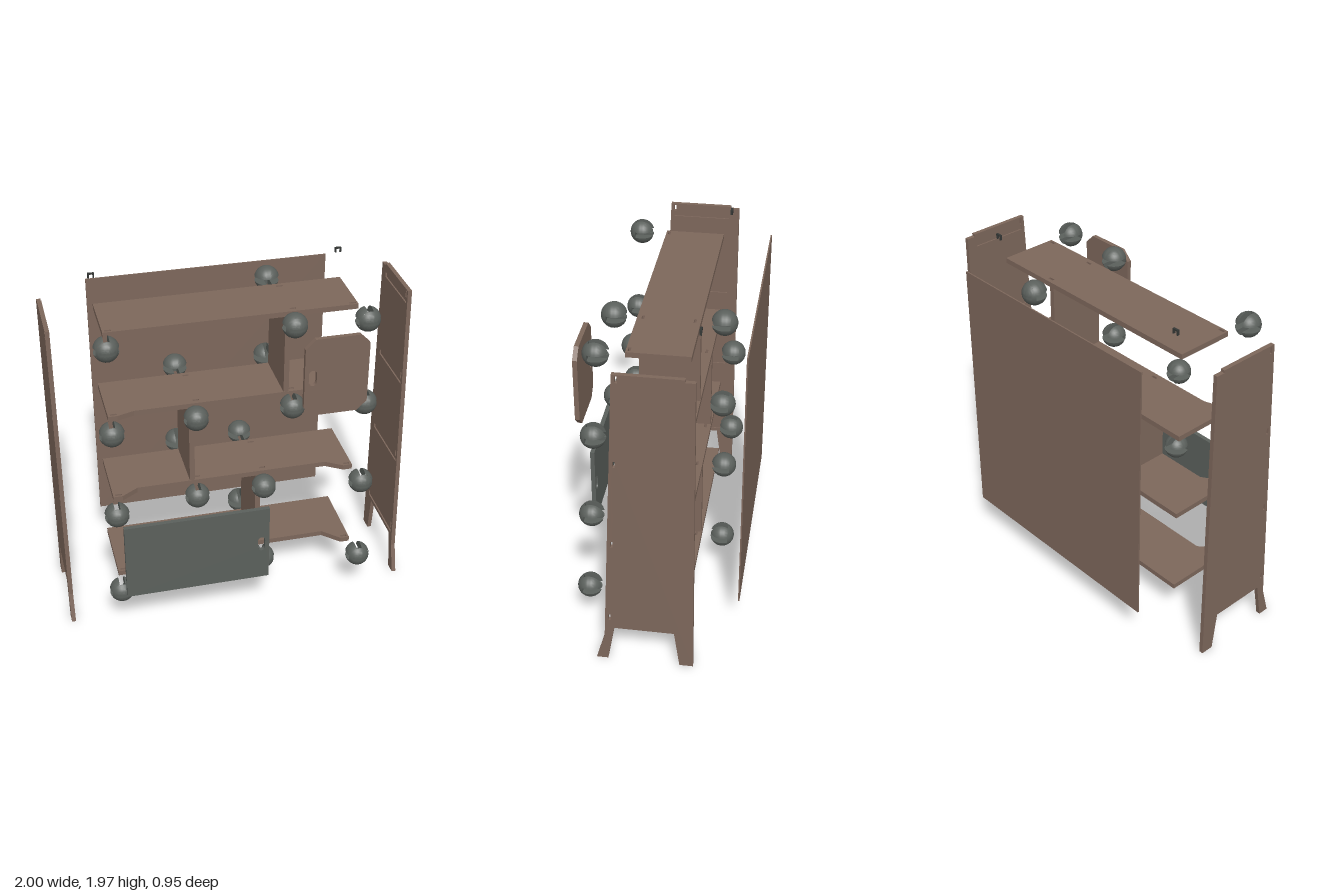
import * as THREE from 'three';
import { mergeGeometries, toCreasedNormals } from 'three/addons/utils/BufferGeometryUtils.js';

const mat = (name, color) => Object.assign(new THREE.MeshStandardMaterial({ color }), { name });
const wood = mat('brown wood', 0x7d675b);
const grey = mat('grey green', 0x5b605c);
const dark = mat('dark metal', 0x343735);

const T = 0.03;                                   // board thickness
const SHELF_Y = [1.795, 1.292, 0.776, 0.265];     // shelf centres, top to bottom
const SHELF_END = [0.14, 0.17, 0.2, 0.23];        // front reach of the shelf ends
const BALL_Z = [0.288, 0.318, 0.343, 0.37];
const DIVIDER_X = [0.307, -0.235, 0.152];         // one divider in each bay

function poly(points, holes = []) {
  const shape = new THREE.Shape(points.map(p => new THREE.Vector2(...p)));
  shape.holes = holes;
  return shape;
}

function rectHole(cx, cy, w, h) {
  const x = w / 2, y = h / 2;
  return new THREE.Path([[-x, -y], [-x, y], [x, y], [x, -y]]
    .map(([a, b]) => new THREE.Vector2(cx + a, cy + b)));
}

// Upright slot with rounded ends
function roundSlot(cx, cy, w, h) {
  const r = w / 2, d = h / 2 - r, p = new THREE.Path();
  p.absarc(cx, cy + d, r, 0, Math.PI);
  p.absarc(cx, cy - d, r, Math.PI, 2 * Math.PI);
  p.closePath();
  return p;
}

const extrude = (shape, depth) =>
  new THREE.ExtrudeGeometry(shape, { depth, bevelEnabled: false, curveSegments: 8 });

// One quarter of the slotted part of a ball, clear of |x| < w and |y| < h, up to z = c
function ballQuarter(R, w, h, c, turn) {
  const pos = [], idx = [], slices = 12, arc = 8, n = arc + 2;
  const a0 = -Math.acos(Math.hypot(w, h) / R), a1 = Math.asin(c / R);
  for (let i = 0; i <= slices; i++) {
    const a = a0 + (a1 - a0) * i / slices, r = R * Math.cos(a), z = R * Math.sin(a);
    const t0 = Math.asin(Math.min(1, h / r)), t1 = Math.acos(Math.min(1, w / r));
    pos.push(w, h, z);
    for (let j = 0; j <= arc; j++) {
      const t = t0 + (t1 - t0) * j / arc;
      pos.push(r * Math.cos(t), r * Math.sin(t), z);
    }
  }
  for (let i = 0; i < slices; i++) for (let j = 0; j < n; j++) {
    const a = i * n + j, b = i * n + (j + 1) % n;
    idx.push(a, b, b + n, a, b + n, a + n);
  }
  const g = new THREE.BufferGeometry();
  g.setAttribute('position', new THREE.Float32BufferAttribute(pos, 3));
  g.setIndex(idx);
  return g.rotateZ(turn * Math.PI / 2).toNonIndexed();
}

// Connector ball: level slot plus an upright slot above and/or below it
function ballGeometry(slotAbove, slotBelow) {
  const R = 0.07, s = 0.016, c = 0.035, parts = [];
  for (let k = 0; k < 4; k++) {
    const up = (k < 2 ? slotAbove : slotBelow) ? s : 0;
    parts.push(k % 2 ? ballQuarter(R, s, up, c, k) : ballQuarter(R, up, s, c, k));
  }
  const cap = new THREE.SphereGeometry(R, 28, 10, 0, 2 * Math.PI, 0, Math.acos(c / R)).rotateX(Math.PI / 2);
  const floor = new THREE.CircleGeometry(Math.sqrt(R * R - c * c), 28).rotateY(Math.PI).translate(0, 0, c);
  for (const g of [cap, floor]) {
    g.deleteAttribute('uv');
    g.deleteAttribute('normal');
    parts.push(g.toNonIndexed());
  }
  return toCreasedNormals(mergeGeometries(parts), 0.6);
}

export function createModel() {
  const model = new THREE.Group();
  const add = (name, geometry, material, x = 0, y = 0, z = 0) => {
    const m = new THREE.Mesh(geometry, material);
    m.name = name;
    m.position.set(x, y, z);
    model.add(m);
    return m;
  };

  // Side panels: tapered boards with legs, key slots and shelf grooves inside
  const frontZ = y => 0.155 + (1.86 - y) * 0.0473;
  const outline = [[0.22, 0], [0.283, 0], [0.235, 0.17], [0.155, 1.86], [-0.205, 1.86], [-0.205, 1.845],
    [-0.255, 1.845], [-0.255, 0], [-0.18, 0], [-0.15, 0.228], [0.18, 0.228]];
  const keys = () => SHELF_Y.map(y => rectHole(frontZ(y) - 0.026, y + 0.038, 0.013, 0.038));
  const grooves = () => SHELF_Y.map((y, i) => {
    const end = Math.min(SHELF_END[i], frontZ(y) - 0.02);
    return rectHole((end - 0.195) / 2, y, end + 0.195, T);
  });
  const outer = extrude(poly(outline, keys()), 0.016).rotateY(-Math.PI / 2);
  const inner = extrude(poly(outline, [...keys(), ...grooves()]), 0.008).rotateY(-Math.PI / 2);
  add('leftPanelOuter', outer, wood, 1);
  add('leftPanelInner', inner, wood, 0.984);
  add('rightPanelOuter', outer, wood, -0.984);
  add('rightPanelInner', inner, wood, -0.976);

  // Shelves: ends flare forward, small slots for the dividers
  SHELF_Y.forEach((y, i) => {
    const e = SHELF_END[i], L = 0.702;
    const pts = [[-L, 0.195], [-L, -e], [-0.65, -e], [-0.555, -0.14],
      [0.555, -0.14], [0.65, -e], [L, -e], [L, 0.195]];
    const holes = [-0.672, 0.672].map(x => rectHole(x, 0.018 - e, 0.035, 0.014));
    for (const d of [i - 1, i]) {
      if (d < 0 || d > 2) continue;
      for (const z of [-0.165, 0.108]) holes.push(rectHole(DIVIDER_X[d] + 0.033, -z, 0.035, 0.014));
    }
    add('shelf' + (i + 1), extrude(poly(pts, holes), T).rotateX(-Math.PI / 2), wood, 0, y - T / 2, 0);
  });

  // Upright dividers between neighbouring shelves
  DIVIDER_X.forEach((x, i) => {
    const h = SHELF_Y[i] - SHELF_Y[i + 1] - T;
    add('divider' + (i + 1), new THREE.BoxGeometry(T, h, 0.33), wood,
      x, (SHELF_Y[i] + SHELF_Y[i + 1]) / 2, -0.027);
  });

  // Back board
  add('backBoard', new THREE.BoxGeometry(1.405, 1.58, 0.008), wood, 0, 1.035, -0.472);

  // Doors with finger slots; the small one has clipped corners
  const door1 = poly([[-0.69, 0.285], [0.135, 0.285], [0.135, 0.763], [-0.69, 0.763]],
    [roundSlot(0.09, 0.522, 0.042, 0.092)]);
  add('largeDoor', extrude(door1, 0.025), grey, 0, 0, 0.446);
  const [x0, x1, y0, y1, k] = [0.325, 0.682, 1.31, 1.777, 0.055];
  const door2 = poly([[x0 + k, y0], [x1 - k, y0], [x1, y0 + k], [x1, y1 - k],
    [x1 - k, y1], [x0 + k, y1], [x0, y1 - k], [x0, y0 + k]],
    [roundSlot(0.37, 1.544, 0.044, 0.094)]);
  add('smallDoor', extrude(door2, 0.025), wood, 0, 0, 0.392);

  // Connector balls at the shelf ends and in front of and behind each divider joint
  const cross = ballGeometry(true, true);
  const teeUp = ballGeometry(true, false), teeDown = ballGeometry(false, true);
  SHELF_Y.forEach((y, i) => {
    for (const s of [-1, 1]) add('endBall', cross, grey, s * 0.706, y, BALL_Z[i]);
  });
  DIVIDER_X.forEach((x, i) => {
    [[teeDown, SHELF_Y[i]], [teeUp, SHELF_Y[i + 1]]].forEach(([g, y]) => {
      add('frontBall', g, grey, x, y, 0.268);
      add('backBall', g, grey, x, y, -0.315).rotation.y = Math.PI;
    });
  });

  // Staple clips above the back corners
  const staple = poly([[-0.018, 0], [-0.01, 0], [-0.01, 0.022], [0.01, 0.022],
    [0.01, 0], [0.018, 0], [0.018, 0.03], [-0.018, 0.03]]);
  for (const s of [-1, 1]) add('clip', extrude(staple, 0.012), dark, s * 0.698, 1.944, -0.245);

  return model;
}
